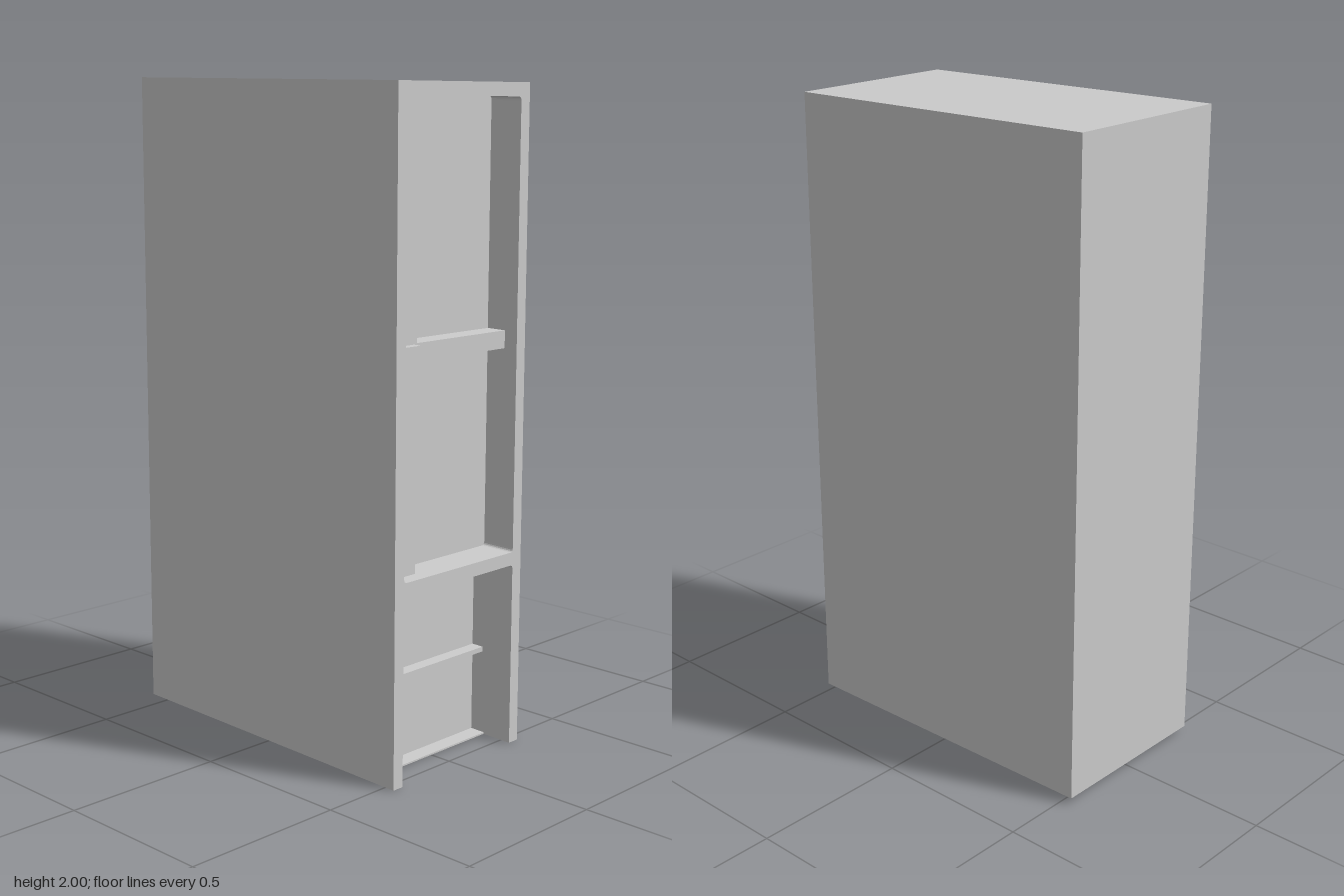
import * as THREE from 'three';

const W = 0.279, H = 1.98, Z = 0.533; // half width, front height, half depth
const IN = 0.241, R = 0.012;          // half width of the openings, corner radius
const BACK = Z - 0.15;                // plane behind the front frame
const material = new THREE.MeshStandardMaterial({ color: 0xcccccc, flatShading: true });

export function createModel() {
  const group = new THREE.Group();

  // The whole cabinet rises gently towards the back
  const add = (name, geometry) => {
    const p = geometry.attributes.position;
    for (let i = 0; i < p.count; i++) p.setY(i, p.getY(i) + (Z - p.getZ(i)) * 0.0188);
    geometry.computeVertexNormals();
    const mesh = new THREE.Mesh(geometry, material);
    mesh.name = name;
    group.add(mesh);
  };
  const box = (name, x0, x1, y0, y1, z0, z1) => add(name,
    new THREE.BoxGeometry(x1 - x0, y1 - y0, z1 - z0)
      .translate((x0 + x1) / 2, (y0 + y1) / 2, (z0 + z1) / 2));

  box('cabinetBody', -W, W, 0, H, -Z, BACK);

  // Front frame: lower opening runs out through the bottom, upper one is a hole
  const frame = new THREE.Shape();
  frame.moveTo(-W, 0).lineTo(-IN, 0).lineTo(-IN, 0.56 - R);
  frame.quadraticCurveTo(-IN, 0.56, -IN + R, 0.56).lineTo(IN - R, 0.56);
  frame.quadraticCurveTo(IN, 0.56, IN, 0.56 - R).lineTo(IN, 0);
  frame.lineTo(W, 0).lineTo(W, H).lineTo(-W, H).closePath();
  const b = 0.6, t = 1.94, hole = new THREE.Path();
  hole.moveTo(-IN + R, b).lineTo(IN - R, b).quadraticCurveTo(IN, b, IN, b + R);
  hole.lineTo(IN, t - R).quadraticCurveTo(IN, t, IN - R, t);
  hole.lineTo(-IN + R, t).quadraticCurveTo(-IN, t, -IN, t - R);
  hole.lineTo(-IN, b + R).quadraticCurveTo(-IN, b, -IN + R, b);
  frame.holes.push(hole);
  add('frontFrame', new THREE.ExtrudeGeometry(frame, {
    depth: Z - BACK, bevelEnabled: false, curveSegments: 4,
  }).translate(0, 0, BACK));

  // Upper door: deep panels, with a raised stile and cross rail
  const stileEdge = -0.146, doorFront = Z - 0.045;
  box('doorPanel', stileEdge, IN, b, t, BACK, Z - 0.11);
  box('doorStile', -IN, stileEdge, b, t, BACK, doorFront);
  box('doorRail', stileEdge, IN, 1.21, 1.263, BACK, doorFront);
  box('handle', -0.228, -0.158, 1.215, 1.26, doorFront, doorFront + 0.025);

  // Lower compartment
  box('lowerRail', -IN, IN, 0.263, 0.278, BACK, Z - 0.11);
  box('floorLedge', -IN, IN, 0, 0.005, BACK, Z - 0.1);

  return group;
}
